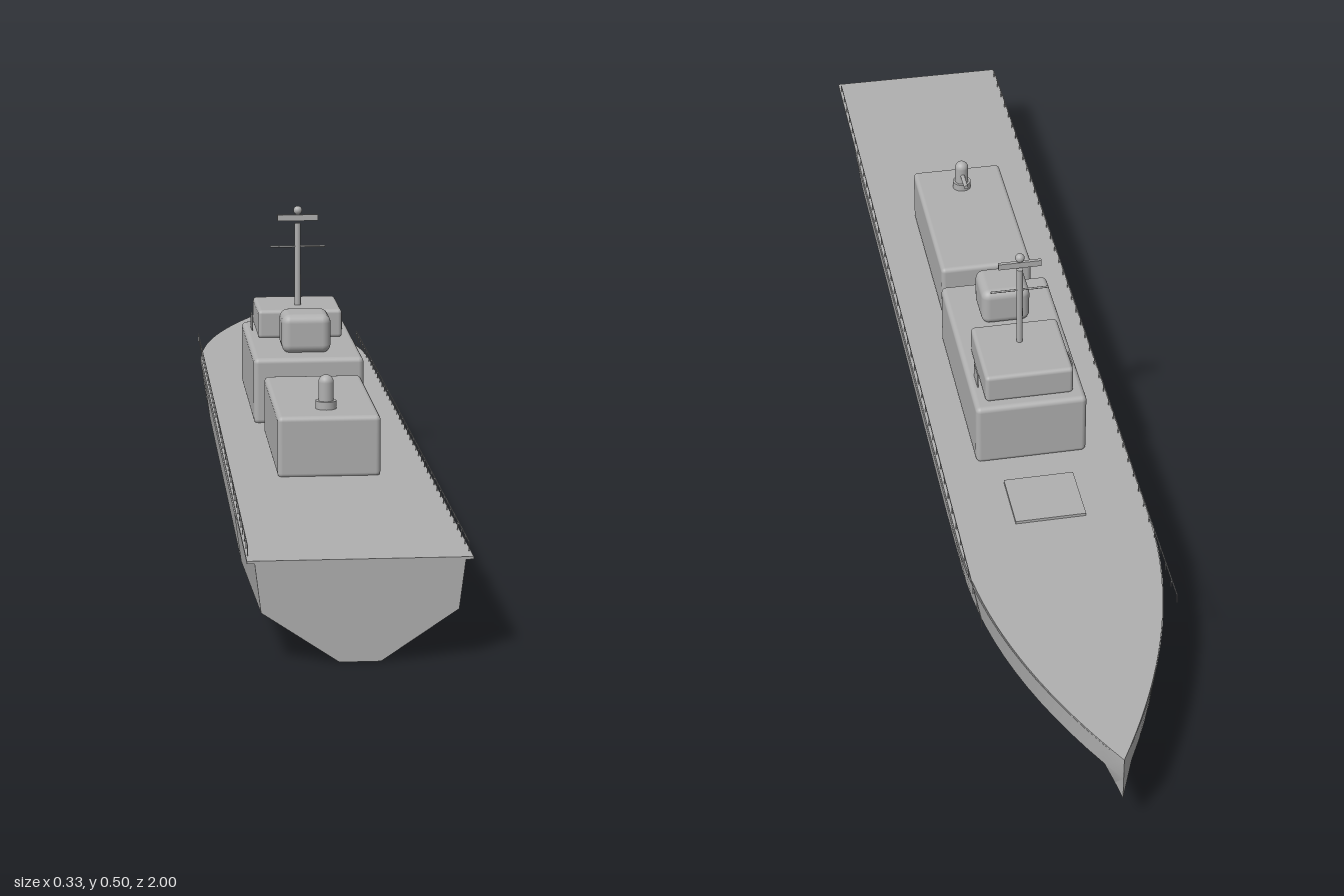
import * as THREE from 'three';
import { toCreasedNormals } from 'three/addons/utils/BufferGeometryUtils.js';
import { RoundedBoxGeometry } from 'three/addons/geometries/RoundedBoxGeometry.js';

const grey = new THREE.MeshStandardMaterial({ color: 0xb0b0b0 });
grey.name = 'ship grey';

function add(parent, name, geometry, x = 0, y = 0, z = 0) {
  const mesh = new THREE.Mesh(geometry, grey);
  mesh.name = name;
  mesh.position.set(x, y, z);
  parent.add(mesh);
  return mesh;
}

// Rounded block given by its half width, height range and length range
function block(parent, name, halfW, y0, y1, z0, z1, r) {
  const geo = new RoundedBoxGeometry(halfW * 2, y1 - y0, z1 - z0, 4, r);
  return add(parent, name, geo, 0, (y0 + y1) / 2, (z0 + z1) / 2);
}

// Half width of the deck: parallel sides, then a pointed bow
function deckHalf(z) {
  const t = Math.max(0, (-z - 0.45) / 0.55);
  return 0.163 * (1 - t * t);
}

// Hull cross-section from the left deck edge under the keel to the right
function section(z) {
  const aft = Math.max(0, (z - 0.72) / 0.28);
  const rise = Math.max(0, (-z - 0.3) / 0.7);
  const deck = deckHalf(z) * 1.012 - 0.013 * aft;
  const chine = deck * 0.94;
  const keel = 0.03 * deckHalf(z) / 0.163;
  const half = [[deck, 0.15], [chine, 0.076 + 0.036 * rise], [keel, 0.07 * rise]];
  const other = half.map(([x, y]) => [-x, y]).reverse();
  return [...half, ...other].map(([x, y]) => [x, y, z]);
}

function hullGeometry() {
  const stations = [1, 0.72, 0.2, -0.3, -0.45];
  for (let i = 1; i <= 14; i++) stations.push(-0.45 - 0.55 * i / 14);
  const rings = stations.map(section);
  const n = rings[0].length;
  const pos = [];
  const tri = (a, b, c) => pos.push(...a, ...b, ...c);
  for (let s = 0; s < rings.length - 1; s++) {
    const A = rings[s], B = rings[s + 1];
    for (let i = 0; i < n; i++) {
      const j = (i + 1) % n;
      tri(A[i], A[j], B[i]);
      tri(A[j], B[j], B[i]);
    }
  }
  // Transom
  const T = rings[0];
  for (let i = 1; i < n - 1; i++) tri(T[0], T[i + 1], T[i]);
  // Orient every face outward from the hull's centre line
  const a = new THREE.Vector3(), b = new THREE.Vector3(), c = new THREE.Vector3();
  for (let k = 0; k < pos.length; k += 9) {
    a.fromArray(pos, k); b.fromArray(pos, k + 3); c.fromArray(pos, k + 6);
    const mid = a.clone().add(b).add(c).divideScalar(3);
    const nrm = b.clone().sub(a).cross(c.clone().sub(a));
    const out = new THREE.Vector3(mid.x, mid.y - 0.11, mid.z > 0.999 ? 1 : 0);
    if (nrm.dot(out) < 0) {
      c.toArray(pos, k + 3);
      b.toArray(pos, k + 6);
    }
  }
  const geo = new THREE.BufferGeometry();
  geo.setAttribute('position', new THREE.Float32BufferAttribute(pos, 3));
  return toCreasedNormals(geo, 0.35);
}

// Thin deck plate following the plan outline
function deckGeometry() {
  const right = [[0.163, 1], [0.163, -0.45]];
  for (let i = 1; i < 20; i++) {
    const z = -0.45 - 0.55 * i / 20;
    right.push([deckHalf(z), z]);
  }
  const left = right.map(([x, z]) => [-x, z]).reverse();
  const outline = [...right, [0, -1], ...left];
  const shape = new THREE.Shape(outline.map(([x, z]) => new THREE.Vector2(x, -z)));
  const geo = new THREE.ExtrudeGeometry(shape, { depth: 0.004, bevelEnabled: false });
  return geo.rotateX(-Math.PI / 2);
}

export function createModel() {
  const ship = new THREE.Group();
  ship.name = 'ship';

  add(ship, 'hull', hullGeometry());
  add(ship, 'deck', deckGeometry(), 0, 0.149, 0);
  add(ship, 'foredeckHatch', new THREE.BoxGeometry(0.12, 0.006, 0.11), 0, 0.155, -0.38);

  // Deckhouses
  block(ship, 'aftDeckhouse', 0.083, 0.15, 0.251, 0.17, 0.5, 0.008);
  block(ship, 'mainDeckhouse', 0.096, 0.15, 0.267, -0.265, 0.1, 0.009);
  block(ship, 'bridge', 0.076, 0.265, 0.317, -0.245, -0.095, 0.007);
  block(ship, 'directorHouse', 0.043, 0.265, 0.334, -0.03, 0.053, 0.015);
  for (const side of [-1, 1]) {
    add(ship, 'bridgeWingScreen', new THREE.BoxGeometry(0.002, 0.03, 0.035),
      side * 0.082, 0.28, -0.185);
  }

  // Mast with yard, radar bar and masthead ball
  const mast = new THREE.Group();
  mast.name = 'mast';
  mast.position.z = -0.15;
  ship.add(mast);
  add(mast, 'mastPole', new THREE.CylinderGeometry(0.0055, 0.0055, 0.155, 12), 0, 0.39, 0);
  add(mast, 'yard', new THREE.CylinderGeometry(0.0018, 0.0018, 0.1, 8).rotateZ(Math.PI / 2),
    0, 0.425, 0);
  add(mast, 'radarBar', new THREE.BoxGeometry(0.074, 0.011, 0.006), 0, 0.4775, 0);
  add(mast, 'mastheadBall', new THREE.SphereGeometry(0.008, 16, 12), 0, 0.491, 0);

  // Gun mount on the aft deckhouse
  const gun = new THREE.Group();
  gun.name = 'gun';
  gun.position.set(0, 0.25, 0.435);
  ship.add(gun);
  add(gun, 'gunBase', new THREE.CylinderGeometry(0.017, 0.017, 0.014, 20), 0, 0.007, 0);
  add(gun, 'gunHousing', new THREE.CapsuleGeometry(0.0125, 0.034, 8, 20), 0, 0.027, 0);
  add(gun, 'gunBarrel', new THREE.CylinderGeometry(0.004, 0.004, 0.05, 12).rotateX(Math.PI / 2),
    0, 0.031, -0.025);

  // Guard rails along both sides
  const posts = 42, z0 = -0.67, z1 = 0.97;
  const postGeo = new THREE.BoxGeometry(0.0014, 0.016, 0.0014);
  const barGeo = new THREE.BoxGeometry(0.0014, 0.0014, z1 - z0);
  for (const side of [-1, 1]) {
    const rail = new THREE.Group();
    rail.name = side > 0 ? 'leftRail' : 'rightRail';
    rail.position.x = side * 0.16;
    ship.add(rail);
    for (let i = 0; i < posts; i++) {
      add(rail, 'railPost', postGeo, 0, 0.159, z0 + (z1 - z0) * i / (posts - 1));
    }
    add(rail, 'railBar', barGeo, 0, 0.167, (z0 + z1) / 2);
  }
  return ship;
}
